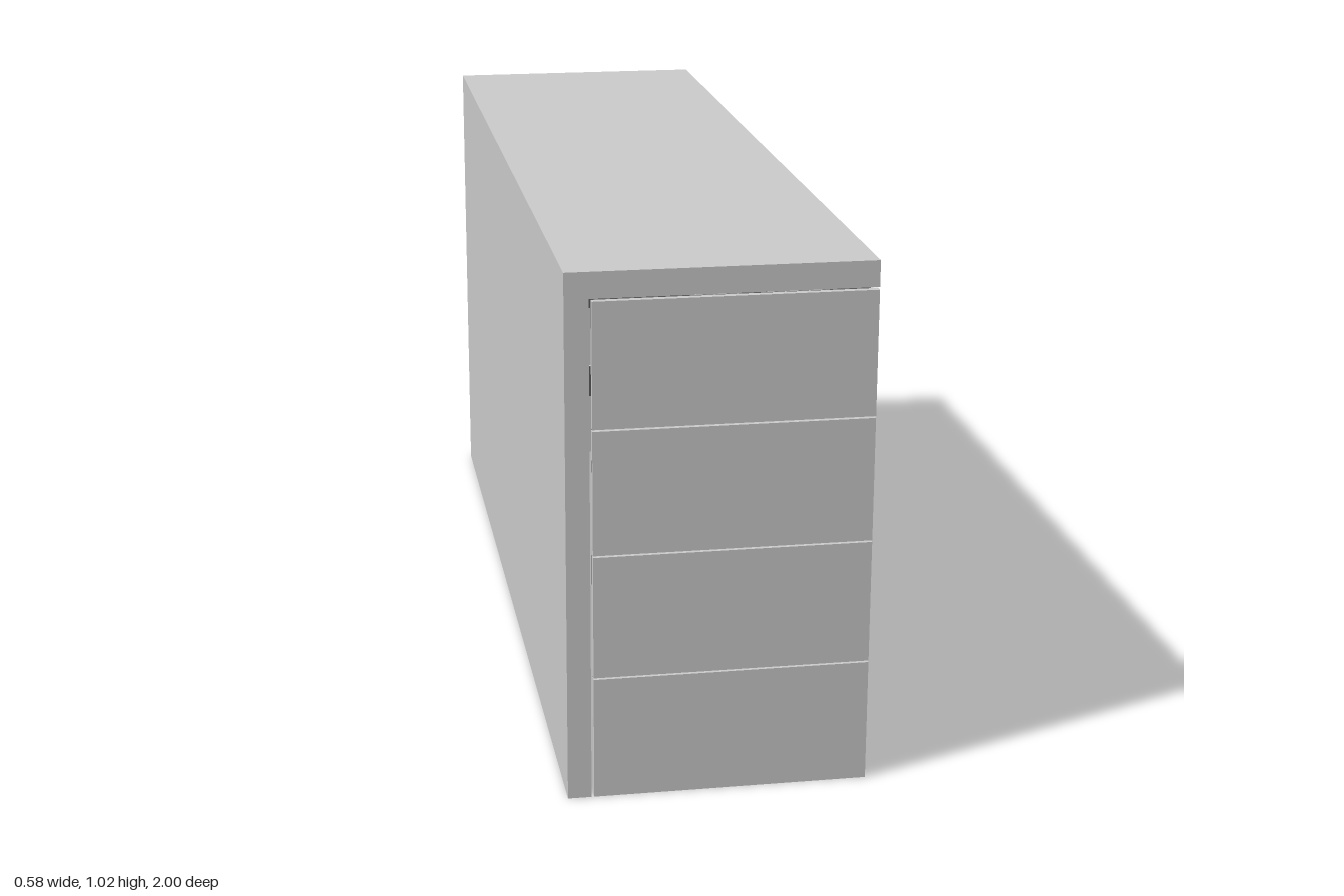
import * as THREE from 'three';

export function createModel() {
  const model = new THREE.Group();
  const grey = new THREE.MeshStandardMaterial({ color: 0xcccccc });
  const dark = new THREE.MeshStandardMaterial({ color: 0x5c5c5c });

  const X = 0.288;          // half depth of the cabinet
  const BACK = -0.238;      // where the drawer sides end
  const T = 0.013;          // board thickness of the drawers
  const PITCH = 0.2433, H = 0.24;

  const polygon = (pts) => new THREE.Shape(pts.map(([x, y]) => new THREE.Vector2(x, y)));

  function add(parent, name, geometry, material) {
    const mesh = new THREE.Mesh(geometry, material);
    mesh.name = name;
    parent.add(mesh);
    return mesh;
  }

  // Box given by its minimum and maximum corners
  function block(parent, name, material, [x0, y0, z0], [x1, y1, z1]) {
    const mesh = add(parent, name, new THREE.BoxGeometry(x1 - x0, y1 - y0, Math.abs(z1 - z0)), material);
    mesh.position.set((x0 + x1) / 2, (y0 + y1) / 2, (z0 + z1) / 2);
  }

  // Top board and rear panel: one L-shaped section along the full length
  const section = polygon([[-X, 0], [-0.243, 0], [-0.243, 0.975], [X, 0.975], [X, 1.025], [-X, 1.025]]);
  const frame = new THREE.ExtrudeGeometry(section, { depth: 2, bevelEnabled: false });
  frame.translate(0, 0, -1);
  add(model, 'topAndRearPanel', frame, grey);

  // Drawer: notched front board, one outer side, dark liner behind the notch
  function createDrawer(s) {
    const drawer = new THREE.Group();
    drawer.name = s > 0 ? 'leftDrawer' : 'rightDrawer';

    const outline = polygon([
      [0.003 * s, 0], [s, 0], [s, H], [0.985 * s, H], [0.985 * s, H - 0.034],
      [0.677 * s, H - 0.034], [0.617 * s, H], [0.003 * s, H],
    ]);
    const board = add(drawer, 'drawerFront',
      new THREE.ExtrudeGeometry(outline, { depth: T, bevelEnabled: false }), grey);
    board.rotation.y = -Math.PI / 2;
    board.position.x = X;

    block(drawer, 'drawerSide', grey, [BACK, 0, s], [X - T, H, s * (1 - T)]);

    const y0 = H - 0.082, inner = s * (1 - T);
    block(drawer, 'frontLiner', dark, [X - T - 0.003, y0, 0.003 * s], [X - T, H, inner]);
    block(drawer, 'sideLiner', dark, [BACK, y0, inner], [X - T - 0.003, H, inner - 0.003 * s]);
    return drawer;
  }

  // Four rows of paired drawers
  for (let row = 0; row < 4; row++) {
    for (const s of [1, -1]) {
      const drawer = createDrawer(s);
      drawer.position.y = row * PITCH;
      model.add(drawer);
    }
  }
  return model;
}
